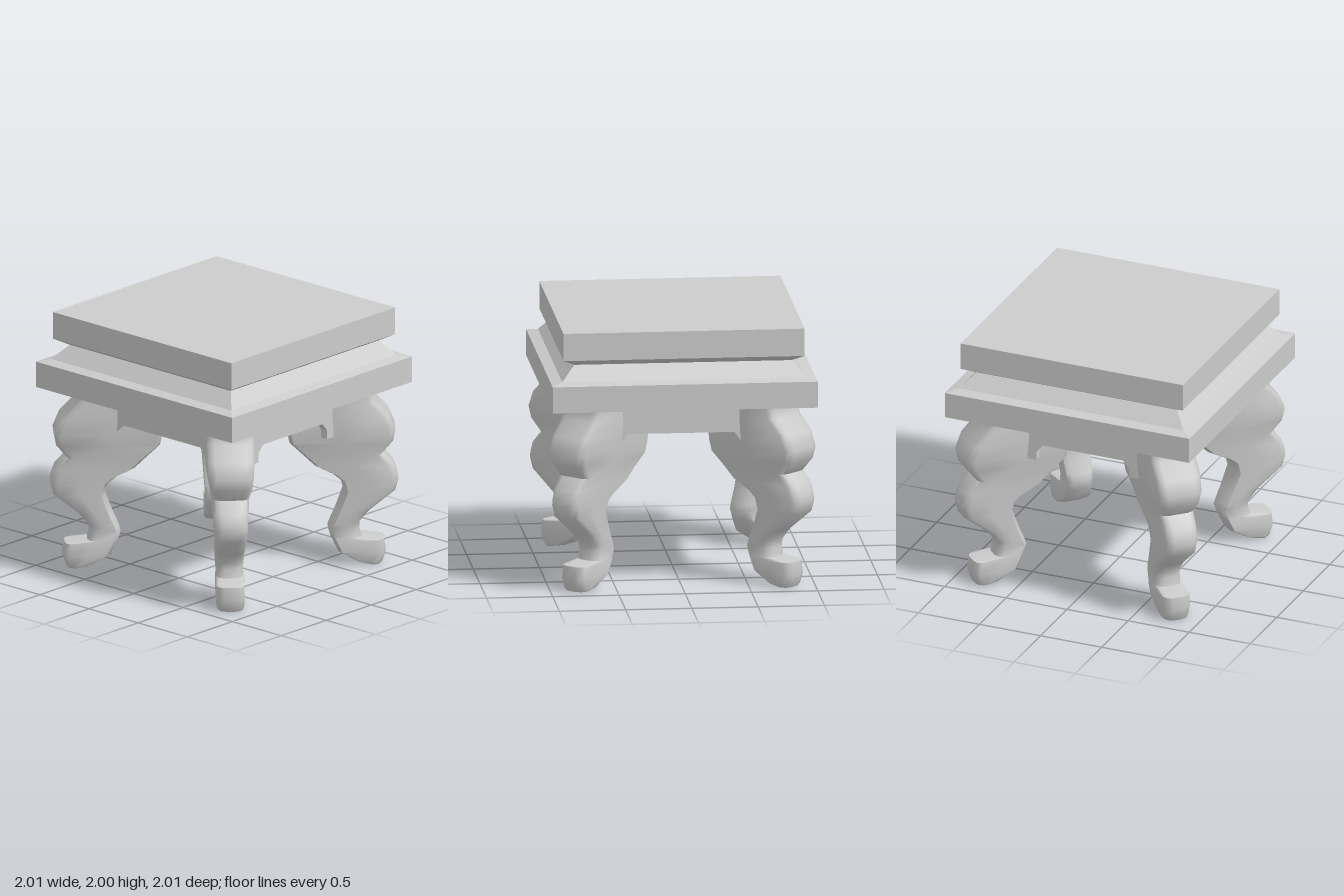
import * as THREE from 'three';
import { toCreasedNormals } from 'three/addons/utils/BufferGeometryUtils.js';

const material = new THREE.MeshStandardMaterial({ color: 0xcccccc });

function addMesh(parent, geometry, name) {
  const mesh = new THREE.Mesh(geometry, material);
  mesh.name = name;
  parent.add(mesh);
  return mesh;
}

// Square moulding: a profile of [half width, height] turned with four sides
function squareMoulding(profile) {
  const points = profile.map(([w, y]) => new THREE.Vector2(w * Math.SQRT2, y));
  const geometry = new THREE.LatheGeometry(points, 4, Math.PI / 4).toNonIndexed();
  geometry.computeVertexNormals();
  return geometry;
}

// Leg sections, bottom to top: height, inner and outer extent along x, half thickness
const LEG = [
  [0, 0.72, 0.87, 0.09],
  [0.02, 0.65, 0.885, 0.1],
  [0.1, 0.545, 0.905, 0.105],
  [0.195, 0.515, 0.895, 0.105],
  [0.215, 0.51, 0.77, 0.1],
  [0.28, 0.495, 0.76, 0.1],
  [0.33, 0.505, 0.765, 0.105],
  [0.42, 0.53, 0.82, 0.11],
  [0.58, 0.565, 0.965, 0.12],
  [0.67, 0.545, 0.985, 0.125],
  [0.72, 0.5, 0.98, 0.128],
  [0.79, 0.4, 0.965, 0.132],
  [0.88, 0.33, 0.91, 0.14],
  [0.98, 0.245, 0.98, 0.16],
  [1.07, 0.225, 1.0, 0.17],
  [1.19, 0.215, 0.97, 0.178],
  [1.3, 0.3, 0.895, 0.18],
  [1.37, 0.35, 0.88, 0.18],
  [1.42, 0.35, 0.88, 0.18],
];

// Leg lofted through chamfered rectangles, reaching out along local +x
function legGeometry() {
  const positions = [];
  const index = [];
  const n = 12;
  for (const [y, xIn, xOut, t] of LEG) {
    const outer = xOut * Math.SQRT2 - t + 0.04;
    const inner = xIn * Math.SQRT2 + t - 0.02;
    const mid = (outer + inner) / 2;
    const half = [
      [outer, t - 0.06],
      [outer - 0.015, t - 0.02],
      [outer - 0.05, t],
      [mid, t + 0.005],
      [inner + 0.03, t],
      [inner, t - 0.04],
    ];
    const ring = [...half, ...half.map(([u, v]) => [u, -v]).reverse()];
    for (const [u, v] of ring) positions.push(u, y, v);
  }
  for (let j = 0; j < LEG.length - 1; j++) {
    for (let k = 0; k < n; k++) {
      const a = j * n + k;
      const b = j * n + ((k + 1) % n);
      index.push(a, a + n, b, b, a + n, b + n);
    }
  }
  const top = (LEG.length - 1) * n;
  for (let k = 1; k < n - 1; k++) {
    index.push(0, k, k + 1, top, top + k + 1, top + k);
  }
  const geometry = new THREE.BufferGeometry();
  geometry.setAttribute('position', new THREE.Float32BufferAttribute(positions, 3));
  geometry.setIndex(index);
  return toCreasedNormals(geometry, 0.9);
}

// Small bracket cut from a thin board
function bracketGeometry(outline) {
  const shape = new THREE.Shape(outline.map(([x, y]) => new THREE.Vector2(x, y)));
  return new THREE.ExtrudeGeometry(shape, { depth: 0.06, bevelEnabled: false });
}

export function createModel() {
  const model = new THREE.Group();
  model.name = 'stand';

  // Top slab, waist and lower slab
  addMesh(model, squareMoulding([
    [0, 1.41], [1, 1.41], [1, 1.61], [0.92, 1.63], [0.82, 1.74],
    [0.91, 1.79], [0.91, 2], [0, 2],
  ]), 'top');

  // Apron between the legs
  const apron = addMesh(model, new THREE.BoxGeometry(1.4, 0.25, 1.4), 'apron');
  apron.position.y = 1.295;

  // Brackets where the apron meets the legs: points at front and back, tabs at the sides
  const pointed = [[0.4, 1.18], [0.4, 1.17], [0.455, 1.1], [0.47, 1.18]];
  const tabbed = [[0.33, 1.18], [0.33, 1.17], [0.38, 1.11], [0.38, 1.04], [0.455, 1.04], [0.455, 1.18]];
  const mirror = (outline) => outline.map(([x, y]) => [-x, y]).reverse();
  for (let side = 0; side < 4; side++) {
    const outline = side % 2 ? tabbed : pointed;
    const brackets = new THREE.Group();
    brackets.name = 'apronBrackets';
    brackets.rotation.y = side * Math.PI / 2;
    for (const shape of [outline, mirror(outline)]) {
      addMesh(brackets, bracketGeometry(shape), 'bracket').position.z = 0.64;
    }
    model.add(brackets);
  }

  // Four curved legs set on the diagonals
  const geometry = legGeometry();
  ['frontLeftLeg', 'backLeftLeg', 'backRightLeg', 'frontRightLeg'].forEach((name, i) => {
    addMesh(model, geometry, name).rotation.y = -Math.PI / 4 + i * Math.PI / 2;
  });

  return model;
}
